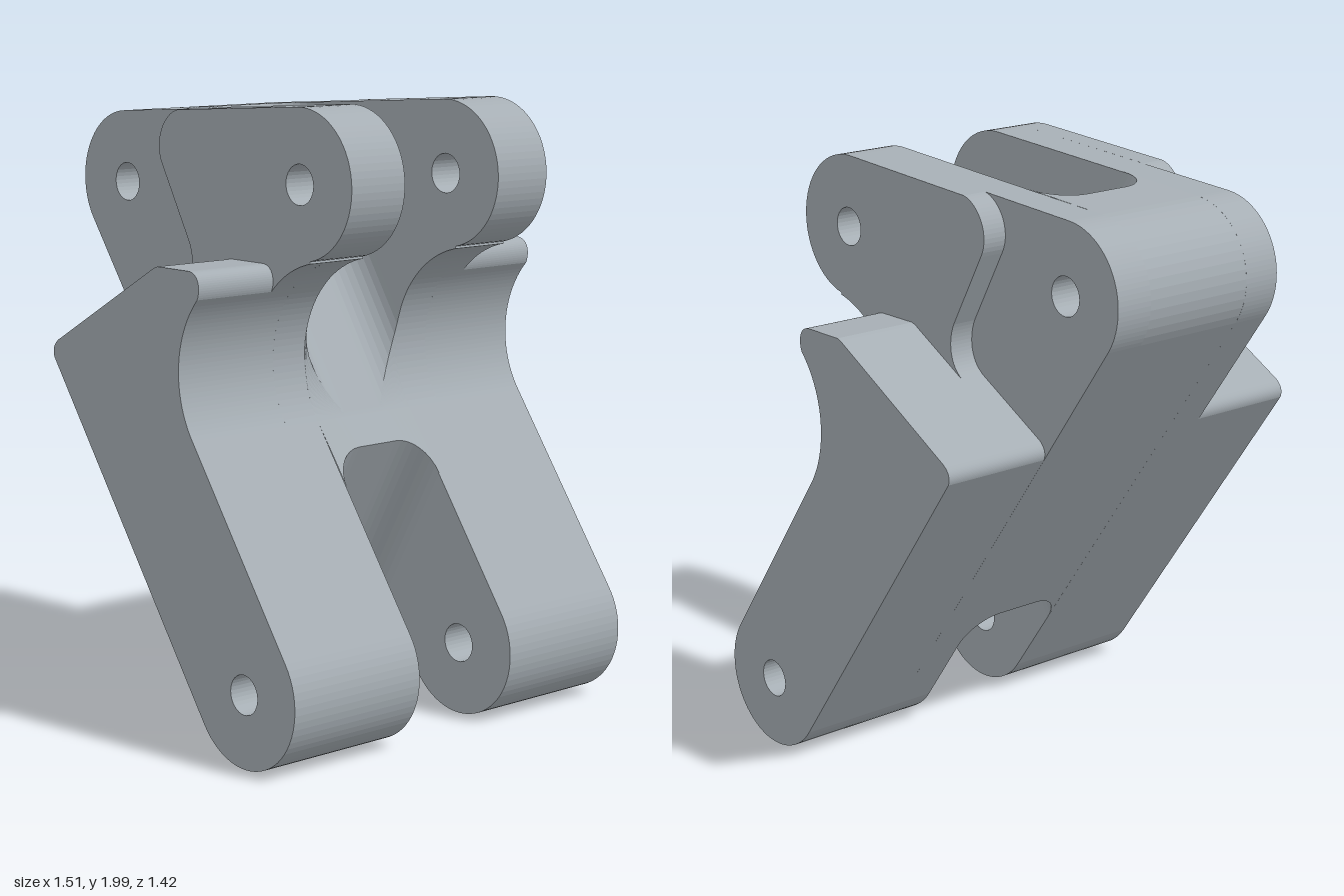
import * as THREE from 'three';

const { PI, cos, sin, sqrt, atan2, acos, asin } = Math;

// Pivot centres in the side profile, and the concave relief between arms
const A = { x: -0.525, y: 1.705 };   // rear lug
const B = { x: 0.44, y: 1.765 };     // upper fork
const L = { x: 0.52, y: 0.24 };      // lower fork
const C = { x: 0.56, y: 1.19 };      // relief centre
const R = 0.235, RC = 0.345, HOLE = 0.063;
const SLOT = 0.2, FILLET = 0.12;     // slot half width and corner radius

const along = atan2(L.y - A.y, L.x - A.x);       // direction of the long arm
const armN = along + PI / 2;                     // its outward normal
const topA = atan2(B.y - A.y, B.x - A.x);        // direction of the top edge
const toC = atan2(C.y - B.y, C.x - B.x);
const polar = (c, r, a) => ({ x: c.x + r * cos(a), y: c.y + r * sin(a) });

function addHoles(shape, centres) {
  for (const c of centres) {
    const p = new THREE.Path();
    p.absarc(c.x, c.y, HOLE, 0, 2 * PI, true);
    shape.holes.push(p);
  }
  return shape;
}

// Whole side outline
function bodyShape() {
  const s = new THREE.Shape();
  s.absarc(A.x, A.y, R, topA + PI / 2, armN + PI, false);
  s.absarc(L.x, L.y, R, armN - PI, armN, false);
  s.absarc(C.x, C.y, RC, armN + PI, toC + PI, true);
  s.absarc(B.x, B.y, R, toC, topA + PI / 2, false);
  s.closePath();
  return addHoles(s, [A, B, L]);
}

// Wide lower arm
function lowerArmShape() {
  const s = new THREE.Shape();
  s.moveTo(0.1, 1.505);
  s.lineTo(-0.405, 1.225);
  s.quadraticCurveTo(-0.442, 1.2, -0.428, 1.165);
  s.absarc(L.x, L.y, R, armN - PI, armN, false);
  s.absarc(C.x, C.y, RC, armN + PI, 137 * PI / 180, true);
  s.bezierCurveTo(0.325, 1.46, 0.315, 1.51, 0.265, 1.51);
  s.lineTo(0.115, 1.51);
  s.closePath();
  return addHoles(s, [L]);
}

// Raised pad on the upper fork
function upperArmShape() {
  const s = new THREE.Shape();
  s.moveTo(-0.15, 1.964);
  s.bezierCurveTo(-0.22, 1.95, -0.275, 1.86, -0.23, 1.785);
  s.lineTo(-0.095, 1.545);
  s.bezierCurveTo(-0.065, 1.48, -0.08, 1.41, -0.13, 1.379);
  s.lineTo(0.1, 1.35);
  s.absarc(C.x, C.y, RC, 137 * PI / 180, toC + PI, true);
  s.absarc(B.x, B.y, R, toC, topA + PI / 2, false);
  s.closePath();
  return addHoles(s, [B]);
}

// Centre web profile; d pushes both slot end walls out near the slot corners
function webRing(d) {
  const p0 = { x: -0.34, y: 1.953 };
  const dist = Math.hypot(C.x - p0.x, C.y - p0.y);
  const wall = atan2(C.y - p0.y, C.x - p0.x) - asin(RC / dist);
  const m = wall + PI / 2;
  const e = d / 0.9;
  const pts = [polar(p0, d / cos(m - topA), topA)];
  const arc = (c, r, a, b, n) => {
    for (let i = 0; i <= n; i++) pts.push(polar(c, r, a + (b - a) * i / n));
  };
  arc(C, RC, m + PI - acos((RC - d) / RC), armN + PI, 10);
  pts.push(polar({ x: 0.345, y: 0.9 }, e, along));
  pts.push(polar({ x: 0.089, y: 0.44 }, e, along));
  arc(A, R, armN + PI, topA + PI / 2, 16);
  return pts.reverse();
}

// Skin through equal rings at successive z
function loft(rings, zs) {
  const pos = [], idx = [], n = rings[0].length;
  rings.forEach((r, k) => r.forEach(p => pos.push(p.x, p.y, zs[k])));
  for (let k = 0; k < rings.length - 1; k++) {
    for (let i = 0; i < n; i++) {
      const a = k * n + i, b = k * n + (i + 1) % n;
      idx.push(a, b, b + n, a, b + n, a + n);
    }
  }
  const g = new THREE.BufferGeometry();
  g.setAttribute('position', new THREE.Float32BufferAttribute(pos, 3));
  g.setIndex(idx);
  const flat = g.toNonIndexed();
  flat.computeVertexNormals();
  return flat;
}

export function createModel() {
  const group = new THREE.Group();
  group.name = 'pivotBracket';
  const metal = new THREE.MeshStandardMaterial({ color: 0xa6aeb4 });
  metal.name = 'grey metal';

  const add = (name, geometry, z = 0) => {
    const mesh = new THREE.Mesh(geometry, metal);
    mesh.name = name;
    mesh.position.z = z;
    group.add(mesh);
  };

  // Mirrored pairs of plates
  const plates = [
    ['sidePlate', bodyShape(), SLOT, 0.332],
    ['upperFork', upperArmShape(), 0.332, 0.417],
    ['lowerArm', lowerArmShape(), 0.332, 0.712],
  ];
  for (const [name, shape, z0, z1] of plates) {
    const g = new THREE.ExtrudeGeometry(shape, {
      depth: z1 - z0, bevelEnabled: false, curveSegments: 16,
    });
    add(name + 'Front', g, z0);
    add(name + 'Back', g, -z1);
  }

  // Centre web with rounded slot corners
  const half = [];
  for (let i = 0; i <= 8; i++) half.push(SLOT - FILLET + FILLET * sin(i / 8 * PI / 2));
  const zs = [...half.map(z => -z).reverse(), ...half];
  const rings = zs.map(z => {
    const q = Math.abs(z) - (SLOT - FILLET);
    return webRing(FILLET - sqrt(Math.max(0, FILLET * FILLET - q * q)));
  });
  add('centreWeb', loft(rings, zs));

  // Rear pin bore through the web
  const bore = [];
  for (let i = 0; i < 32; i++) bore.push(polar(A, HOLE, -i / 32 * 2 * PI));
  add('rearBore', loft([bore, bore], [-SLOT, SLOT]));

  return group;
}
